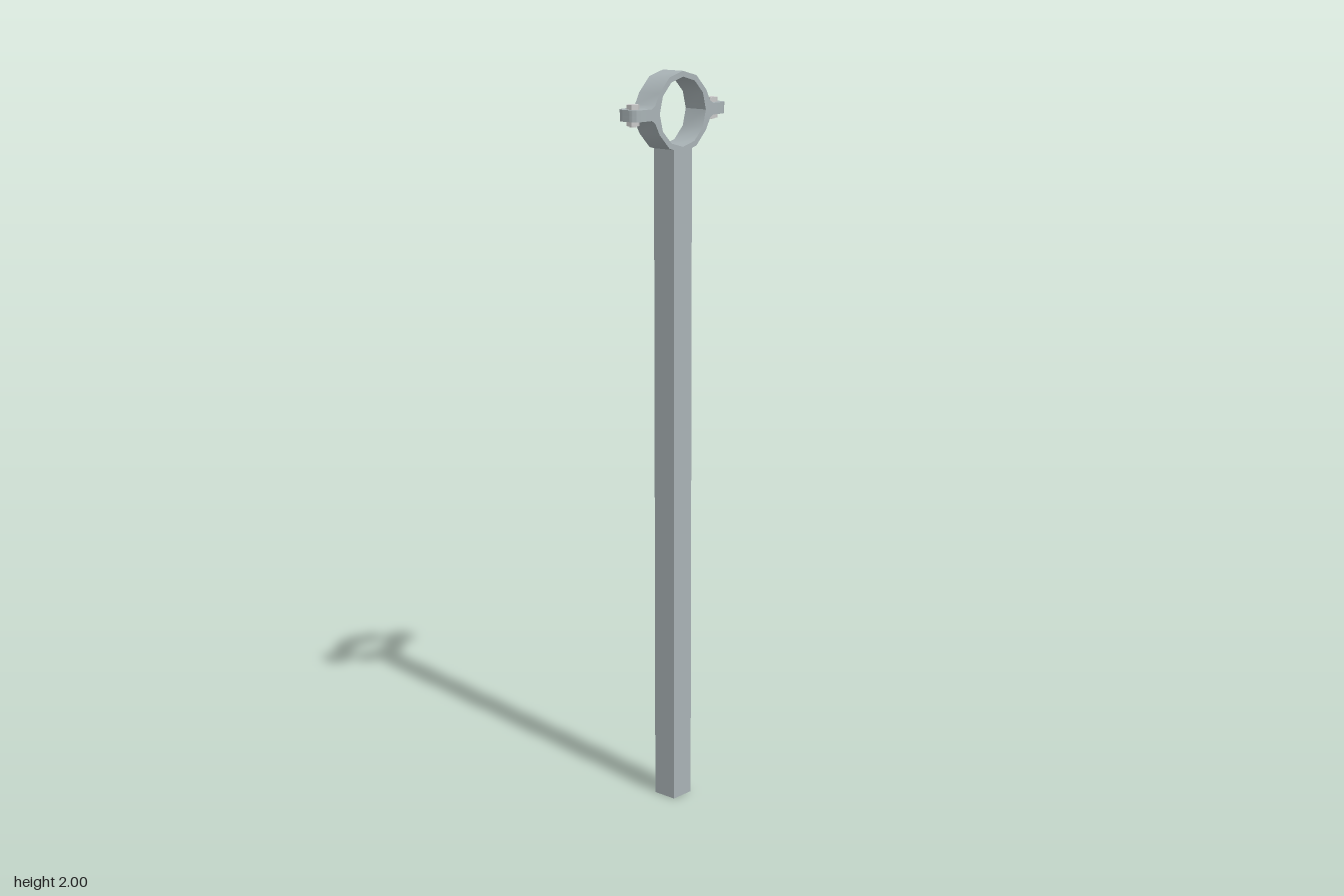
import * as THREE from 'three';
import { toCreasedNormals } from 'three/addons/utils/BufferGeometryUtils.js';

const HALF = 0.035;      // half width of post and clamp
const CENTRE = 1.895;    // height of the clamp axis
const TAB = 0.015;       // thickness of each ear
const BOLT_X = 0.153;

const steel = new THREE.MeshStandardMaterial({ color: 0xa9b3b6 });
const bolt = new THREE.MeshStandardMaterial({ color: 0xcccccc });

function add(parent, name, geometry, material, x = 0, y = 0, z = 0) {
  const mesh = new THREE.Mesh(geometry, material);
  mesh.name = name;
  mesh.position.set(x, y, z);
  parent.add(mesh);
  return mesh;
}

const polar = (r, deg) => new THREE.Vector2(
  r * Math.cos(THREE.MathUtils.degToRad(deg)), r * Math.sin(THREE.MathUtils.degToRad(deg)));

// Half ring in facets of 30 degrees, flaring out to the ears at both ends
function bandGeometry() {
  const points = [new THREE.Vector2(0.12, TAB), new THREE.Vector2(0.107, 0.023)];
  for (let a = 30; a <= 150; a += 30) points.push(polar(0.105, a));
  points.push(new THREE.Vector2(-0.107, 0.023), new THREE.Vector2(-0.12, TAB), new THREE.Vector2(-0.12, 0));
  for (let a = 180; a >= 0; a -= 30) points.push(polar(0.09, a));
  points.push(new THREE.Vector2(0.12, 0));
  const g = new THREE.ExtrudeGeometry(new THREE.Shape(points), { depth: 2 * HALF, bevelEnabled: false });
  g.translate(0, 0, -HALF);
  return toCreasedNormals(g, 0.9);
}

// Flat ear with rounded outer corners, lying on y = 0
function earGeometry() {
  const x0 = 0.12, x1 = 0.18, r = 0.025;
  const s = new THREE.Shape();
  s.moveTo(x0, -HALF);
  s.lineTo(x1 - r, -HALF);
  s.absarc(x1 - r, -HALF + r, r, -Math.PI / 2, 0, false);
  s.absarc(x1 - r, HALF - r, r, 0, Math.PI / 2, false);
  s.lineTo(x0, HALF);
  const g = new THREE.ExtrudeGeometry(s, { depth: TAB, bevelEnabled: false, curveSegments: 5 });
  g.rotateX(-Math.PI / 2);
  return toCreasedNormals(g, 0.6);
}

function halfClamp(name) {
  const half = new THREE.Group();
  half.name = name;
  add(half, 'band', bandGeometry(), steel);
  add(half, 'leftEar', earGeometry(), steel);
  add(half, 'rightEar', earGeometry(), steel).rotation.y = Math.PI;
  return half;
}

export function createModel() {
  const model = new THREE.Group();
  model.name = 'postWithPipeClamp';

  // Square post
  add(model, 'post', new THREE.BoxGeometry(2 * HALF, 1.8, 2 * HALF), steel, 0, 0.9, 0);

  // Two matching clamp halves
  const clamp = new THREE.Group();
  clamp.name = 'clamp';
  clamp.position.y = CENTRE;
  const lower = halfClamp('lowerHalf');
  lower.rotation.z = Math.PI;
  clamp.add(halfClamp('upperHalf'), lower);
  model.add(clamp);

  // Hexagonal bolt head above and nut below each ear, with the shank end showing
  for (const side of [1, -1]) {
    const set = new THREE.Group();
    set.name = side > 0 ? 'leftBolt' : 'rightBolt';
    set.position.set(side * BOLT_X, 0, 0);
    const hex = () => toCreasedNormals(new THREE.CylinderGeometry(0.0175, 0.0175, 0.012, 6), 0.5);
    add(set, 'head', hex(), bolt, 0, TAB + 0.006, 0);
    add(set, 'nut', hex(), bolt, 0, -TAB - 0.006, 0);
    add(set, 'shank', new THREE.CylinderGeometry(0.009, 0.009, 0.04, 12), bolt, 0, -0.01, 0);
    clamp.add(set);
  }
  return model;
}
